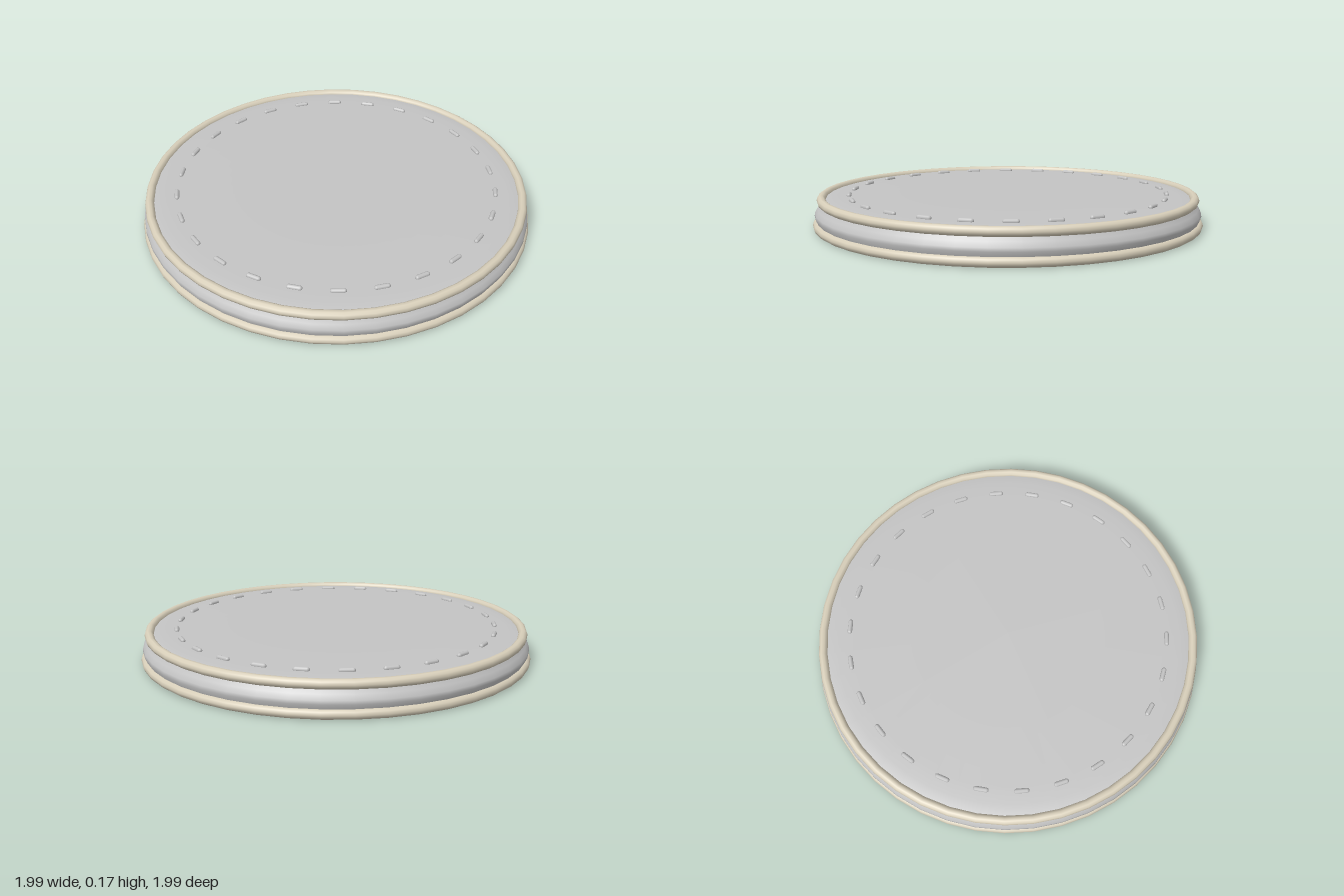
import * as THREE from 'three';

export function createModel() {
  const model = new THREE.Group();
  const fabric = new THREE.MeshStandardMaterial({ color: 0xc4c4c4 });
  fabric.name = 'grey fabric';
  const trim = new THREE.MeshStandardMaterial({ color: 0xd8cfba });
  trim.name = 'beige piping';

  const add = (name, geometry, material, parent = model) => {
    const mesh = new THREE.Mesh(geometry, material);
    mesh.name = name;
    parent.add(mesh);
    return mesh;
  };
  const lathe = (points) =>
    new THREE.LatheGeometry(points.map(([r, y]) => new THREE.Vector2(r, y)), 44);

  // Flat panels that curve into the seams
  add('bottomPanel', lathe([[0, 0.008], [0.6, 0.008], [0.9, 0.009], [0.94, 0.013], [0.972, 0.024]]), fabric);
  add('topPanel', lathe([[0.952, 0.146], [0.925, 0.152], [0.88, 0.156], [0.8, 0.158], [0.5, 0.158], [0, 0.158]]), fabric);

  // Softly bulging side band
  add('sideBand', lathe([[0.968, 0.024], [0.976, 0.045], [0.987, 0.068], [0.985, 0.085], [0.972, 0.108], [0.955, 0.128], [0.95, 0.146]]), fabric);

  // Piping around both seams
  const addPiping = (name, radius, y) => {
    const ring = new THREE.TorusGeometry(radius, 0.023, 10, 44);
    ring.rotateX(Math.PI / 2);
    add(name, ring, trim).position.y = y;
  };
  addPiping('bottomPiping', 0.974, 0.023);
  addPiping('topPiping', 0.952, 0.147);

  // Ring of raised stitches on the top
  const stitches = new THREE.Group();
  stitches.name = 'stitches';
  model.add(stitches);
  const stitch = new THREE.CapsuleGeometry(0.012, 0.052, 3, 8);
  stitch.rotateX(Math.PI / 2);
  const count = 26;
  for (let i = 0; i < count; i++) {
    const a = (i / count) * Math.PI * 2;
    const mesh = add('stitch', stitch, fabric, stitches);
    mesh.position.set(0.815 * Math.cos(a), 0.161, 0.815 * Math.sin(a));
    mesh.rotation.y = -a;
  }
  return model;
}
